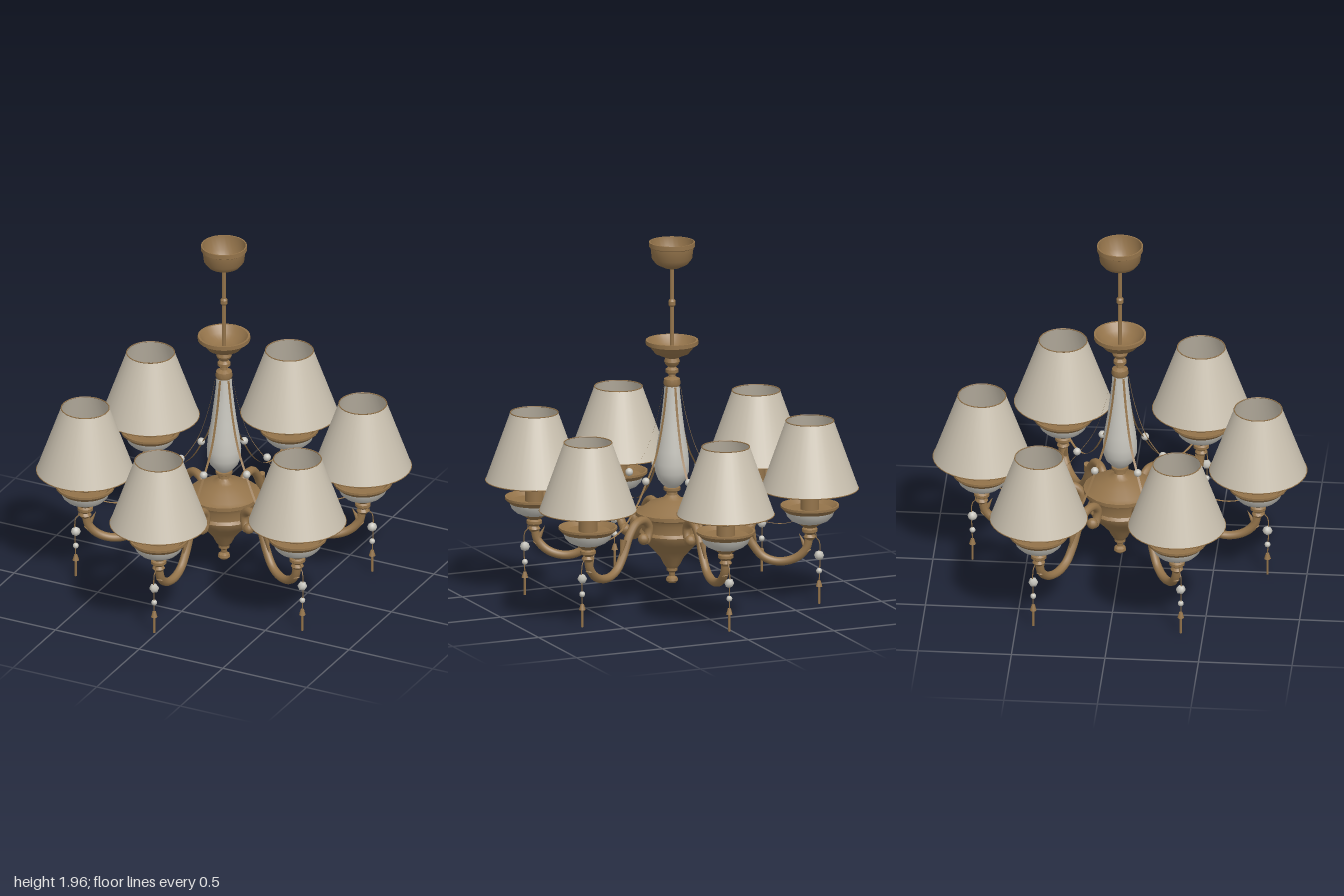
import * as THREE from 'three';
import { toCreasedNormals } from 'three/addons/utils/BufferGeometryUtils.js';

const mat = (name, color) => {
  const m = new THREE.MeshStandardMaterial({ color, side: THREE.DoubleSide });
  m.name = name;
  return m;
};

export function createModel() {
  const brass = mat('aged brass', 0x93734a);
  const fabric = mat('shade fabric', 0xcac1b0);
  const glass = mat('pale glass', 0xc6c4bc);

  const add = (parent, name, geometry, material, x = 0, y = 0, z = 0) => {
    const mesh = new THREE.Mesh(geometry, material);
    mesh.name = name;
    mesh.position.set(x, y, z);
    parent.add(mesh);
    return mesh;
  };
  const lathe = (points, sides = 28) =>
    toCreasedNormals(new THREE.LatheGeometry(points.map(p => new THREE.Vector2(...p)), sides), 0.6);
  const curve = pts => new THREE.CatmullRomCurve3(pts.map(([r, y]) => new THREE.Vector3(r, y, 0)));

  // Flat strip following a curve in the xy plane, as wide as w along z
  const strip = (path, w, n = 40) => {
    const pos = [], index = [];
    path.getSpacedPoints(n).forEach((p, i) => {
      pos.push(p.x, p.y, -w / 2, p.x, p.y, w / 2);
      if (i < n) index.push(2 * i, 2 * i + 1, 2 * i + 2, 2 * i + 1, 2 * i + 3, 2 * i + 2);
    });
    const g = new THREE.BufferGeometry();
    g.setAttribute('position', new THREE.Float32BufferAttribute(pos, 3));
    g.setIndex(index);
    g.computeVertexNormals();
    return g;
  };

  const model = new THREE.Group();
  model.name = 'chandelier';

  // Ceiling cup and hanging rod
  add(model, 'ceilingCup', lathe([[0, 1.815], [0.04, 1.818], [0.085, 1.84], [0.108, 1.87],
    [0.115, 1.93], [0.123, 1.935], [0.123, 1.96], [0.116, 1.96], [0.105, 1.88], [0.08, 1.85], [0, 1.83]]), brass);
  add(model, 'hangingRod', lathe([[0.012, 1.36], [0.012, 1.605], [0.02, 1.615], [0.02, 1.635],
    [0.012, 1.645], [0.012, 1.83]], 14), brass);

  // Upper dish and beaded neck
  add(model, 'upperDish', lathe([[0.035, 1.325], [0.055, 1.335], [0.09, 1.35], [0.118, 1.385],
    [0.14, 1.4], [0.14, 1.422], [0.128, 1.422], [0.1, 1.385], [0.06, 1.36], [0, 1.355]]), brass);
  add(model, 'upperNeck', lathe([[0.04, 1.17], [0.046, 1.185], [0.042, 1.21], [0.02, 1.222], [0.018, 1.235],
    [0.034, 1.245], [0.034, 1.262], [0.02, 1.275], [0.036, 1.29], [0.042, 1.305], [0.036, 1.325], [0, 1.335]]), brass);

  // Glass column
  add(model, 'glassColumn', lathe([[0.03, 0.615], [0.05, 0.63], [0.075, 0.66], [0.09, 0.7], [0.092, 0.75],
    [0.085, 0.82], [0.068, 0.92], [0.054, 1.03], [0.044, 1.12], [0.04, 1.18]]), glass);

  // Central body with lid and finial
  add(model, 'body', lathe([[0, 0.09], [0.02, 0.092], [0.033, 0.105], [0.03, 0.12], [0.015, 0.13],
    [0.017, 0.15], [0.03, 0.16], [0.03, 0.175], [0.045, 0.195], [0.062, 0.23], [0.1, 0.275], [0.145, 0.32],
    [0.168, 0.35], [0.175, 0.37], [0.162, 0.385], [0.16, 0.43], [0.172, 0.455], [0.195, 0.465],
    [0.195, 0.485], [0.17, 0.495], [0.125, 0.53], [0.065, 0.55], [0.045, 0.56], [0.03, 0.575],
    [0.028, 0.59], [0.045, 0.6], [0.045, 0.615], [0, 0.62]], 20), brass);

  // Shared shapes for the six arms; x is the distance from the axis
  const R = 0.74;
  const armPath = curve([[0.255, 0.375], [0.235, 0.36], [0.21, 0.39], [0.205, 0.44], [0.245, 0.478],
    [0.315, 0.475], [0.375, 0.42], [0.43, 0.32], [0.49, 0.25], [0.57, 0.225], [0.66, 0.245],
    [0.72, 0.3], [R, 0.39]]);
  const armGeo = new THREE.TubeGeometry(armPath, 56, 0.023, 10);
  const chainGeo = strip(curve([[0.045, 1.17], [0.078, 1.0], [0.14, 0.81], [0.225, 0.68], [0.33, 0.55],
    [0.46, 0.455], [0.58, 0.432], [0.67, 0.455], [0.71, 0.49]]), 0.013);
  const leafGeo = new THREE.ConeGeometry(0.02, 0.11, 8);
  const cupBaseGeo = lathe([[0.022, 0.35], [0.034, 0.365], [0.024, 0.38], [0.042, 0.395], [0.042, 0.41],
    [0.032, 0.418], [0.055, 0.435], [0.075, 0.447]], 20);
  const bowlGeo = lathe([[0.072, 0.445], [0.1, 0.458], [0.122, 0.48], [0.132, 0.508]]);
  const rimGeo = lathe([[0.13, 0.505], [0.157, 0.53], [0.157, 0.542], [0.146, 0.542], [0.12, 0.52], [0, 0.515]]);
  const candleGeo = new THREE.CylinderGeometry(0.05, 0.05, 0.205, 20);
  const bulbGeo = lathe([[0.02, 0.72], [0.03, 0.735], [0.048, 0.775], [0.048, 0.8], [0.035, 0.828], [0, 0.842]], 18);
  const shadeGeo = new THREE.CylinderGeometry(0.128, 0.26, 0.37, 36, 1, true);
  const hoop = r => new THREE.TorusGeometry(r, 0.003, 5, 36).rotateX(Math.PI / 2);
  const topHoop = hoop(0.128), bottomHoop = hoop(0.26);
  const hookGeo = new THREE.TubeGeometry(curve([[R + 0.03, 0.4], [0.778, 0.355], [0.79, 0.345], [0.79, 0.09]]), 16, 0.003, 5);
  const crystalGeo = new THREE.OctahedronGeometry(0.027, 1);
  const beadGeo = new THREE.SphereGeometry(0.016, 10, 8);
  const capGeo = new THREE.CylinderGeometry(0.009, 0.018, 0.032, 8);
  const dropGeo = new THREE.CylinderGeometry(0.007, 0.007, 0.1, 6);

  for (let i = 0; i < 6; i++) {
    const arm = new THREE.Group();
    arm.name = 'lampArm' + (i + 1);
    arm.rotation.y = THREE.MathUtils.degToRad(28.8 + 60 * i);
    model.add(arm);

    // Scrolled arm with leaves
    add(arm, 'arm', armGeo, brass);
    add(arm, 'scrollEnd', new THREE.SphereGeometry(0.03, 12, 8), brass, 0.252, 0.378);
    add(arm, 'innerLeaf', leafGeo, brass, 0.442, 0.355).rotation.z = Math.PI + 0.3;
    add(arm, 'outerLeaf', leafGeo, brass, 0.705, 0.335).rotation.z = 0.45;

    // Beaded chain from the column to the cup
    add(arm, 'chain', chainGeo, brass);
    add(arm, 'chainBead', new THREE.SphereGeometry(0.021, 12, 10), glass, 0.23, 0.69);

    // Drip cup, candle and bulb
    add(arm, 'cupBase', cupBaseGeo, brass, R);
    add(arm, 'cupBowl', bowlGeo, glass, R);
    add(arm, 'cupRim', rimGeo, brass, R);
    add(arm, 'candle', candleGeo, brass, R, 0.62);
    add(arm, 'bulb', bulbGeo, glass, R);

    // Shade with trims
    add(arm, 'shade', shadeGeo, fabric, R, 0.817);
    add(arm, 'shadeTopTrim', topHoop, brass, R, 1.002);
    add(arm, 'shadeBottomTrim', bottomHoop, brass, R, 0.632);

    // Hanging crystals
    add(arm, 'pendantHook', hookGeo, brass);
    add(arm, 'pendantCrystal', crystalGeo, glass, 0.79, 0.265);
    add(arm, 'pendantBead', beadGeo, glass, 0.79, 0.18);
    add(arm, 'pendantCap', capGeo, brass, 0.79, 0.11);
    add(arm, 'pendantDrop', dropGeo, brass, 0.79, 0.05);
  }
  return model;
}
